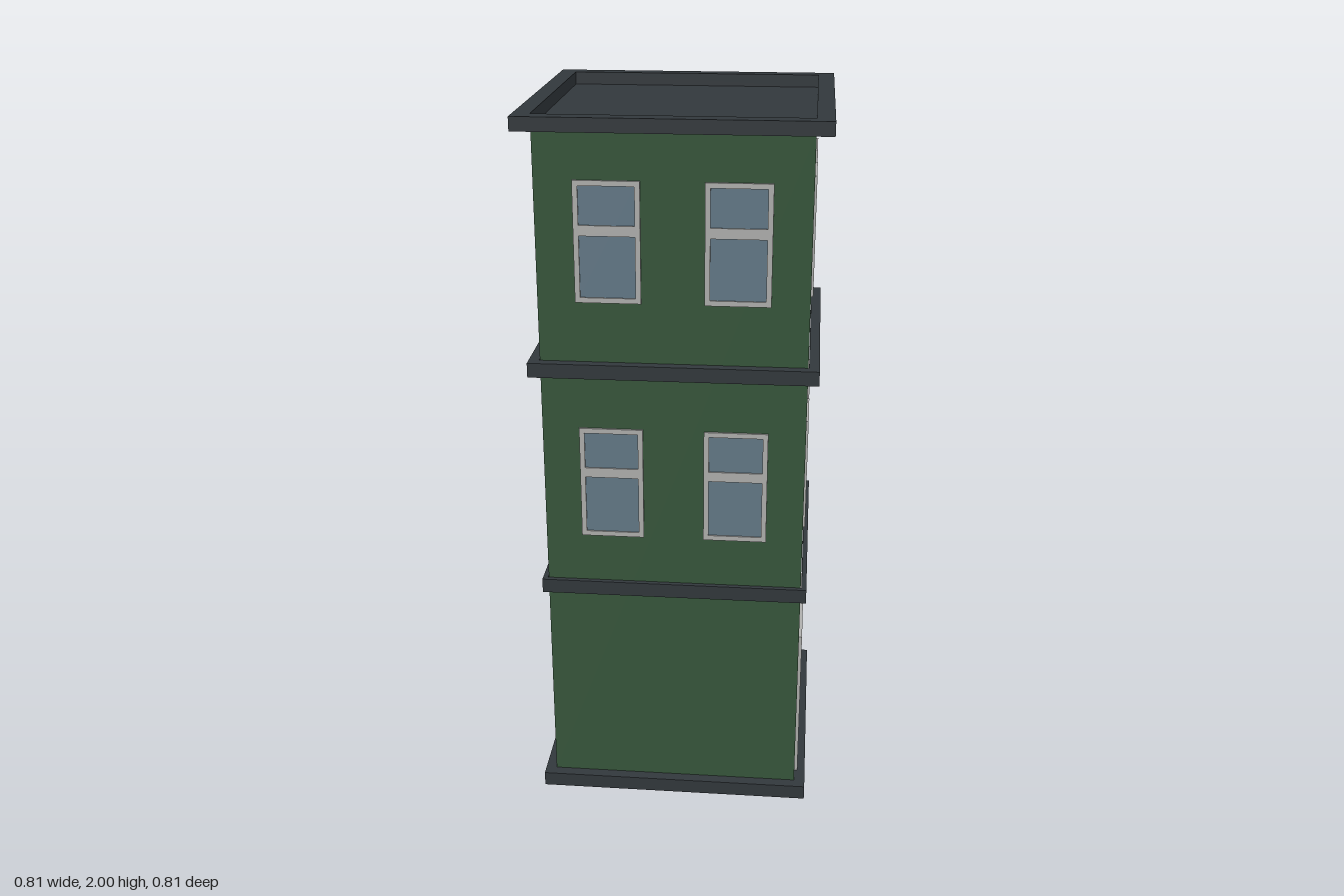
import * as THREE from 'three';

const WALL = 0.358; // half width of the tower
const mat = (color, extra = {}) => new THREE.MeshStandardMaterial({ color, ...extra });
const green = mat(0x37563b, { side: THREE.DoubleSide, flatShading: true });
const slate = mat(0x32383c);
const slateThin = mat(0x32383c, { side: THREE.DoubleSide });
const trim = mat(0xb0b0ae);
const glass = mat(0x637987);
const wood = mat(0x4f2816);

function add(parent, name, geometry, material, x = 0, y = 0, z = 0) {
  const mesh = new THREE.Mesh(geometry, material);
  mesh.name = name;
  mesh.position.set(x, y, z);
  parent.add(mesh);
  return mesh;
}

function rect(path, x0, y0, x1, y1) {
  path.moveTo(x0, y0);
  path.lineTo(x1, y0);
  path.lineTo(x1, y1);
  path.lineTo(x0, y1);
  path.closePath();
  return path;
}

// Rectangular frame of the given outer size, extruded along +z
function frameGeometry(w, h, sides, ends, depth) {
  const shape = rect(new THREE.Shape(), -w / 2, -h / 2, w / 2, h / 2);
  shape.holes.push(rect(new THREE.Path(), -w / 2 + sides, -h / 2 + ends, w / 2 - sides, h / 2 - ends));
  return new THREE.ExtrudeGeometry(shape, { depth, bevelEnabled: false });
}

// Square ledge running around the tower
function ledge(parent, name, y0, y1, half, inner) {
  const geo = frameGeometry(half * 2, half * 2, half - inner, half - inner, y1 - y0);
  geo.rotateX(-Math.PI / 2);
  add(parent, name, geo, slate, 0, y0, 0);
}

// Window on a facade, with an optional cross bar
function windowUnit(parent, name, x, y, w, h, bar) {
  const unit = new THREE.Group();
  unit.name = name;
  unit.position.set(x, y, WALL);
  add(unit, 'windowFrame', frameGeometry(w, h, 0.014, 0.014, 0.006), trim);
  add(unit, 'windowPane', new THREE.PlaneGeometry(w - 0.026, h - 0.026), glass, 0, 0, 0.002);
  if (bar) add(unit, 'windowBar', new THREE.BoxGeometry(w - 0.026, 0.028, 0.006), trim, 0, 0.031, 0.003);
  parent.add(unit);
}

// Door with two jambs and a lintel
function doorUnit(parent, x, y0, w, h) {
  const door = new THREE.Group();
  door.name = 'door';
  door.position.set(x, y0, WALL);
  add(door, 'doorPanel', new THREE.BoxGeometry(w - 0.026, h - 0.013, 0.004), wood, 0, (h - 0.013) / 2, 0.002);
  for (const s of [-1, 1]) {
    add(door, 'doorJamb', new THREE.BoxGeometry(0.014, h, 0.009), trim, s * (w / 2 - 0.007), h / 2, 0.0045);
  }
  add(door, 'doorLintel', new THREE.BoxGeometry(w - 0.028, 0.014, 0.009), trim, 0, h - 0.007, 0.0045);
  parent.add(door);
}

export function createModel() {
  const model = new THREE.Group();
  model.name = 'building';

  // Hollow walls, open at the bottom
  const walls = new THREE.CylinderGeometry(WALL * Math.SQRT2, WALL * Math.SQRT2, 1.925, 4, 1, true);
  walls.rotateY(Math.PI / 4);
  add(model, 'walls', walls, green, 0, 0.04 + 1.925 / 2, 0);

  // Ledges and sunken roof
  ledge(model, 'baseLedge', 0, 0.042, 0.389, WALL);
  ledge(model, 'lowerLedge', 0.652, 0.693, 0.374, WALL + 0.002);
  ledge(model, 'upperLedge', 1.308, 1.348, 0.388, WALL + 0.002);
  ledge(model, 'roofParapet', 1.963, 2, 0.404, WALL);
  const roof = new THREE.PlaneGeometry(WALL * 2, WALL * 2);
  roof.rotateX(-Math.PI / 2);
  add(model, 'roof', roof, slateThin, 0, 1.965, 0);

  // Four facades, each built facing +z and then turned
  const facades = ['front', 'left', 'back', 'right'].map((side, i) => {
    const facade = new THREE.Group();
    facade.name = side + 'Facade';
    facade.rotation.y = i * Math.PI / 2;
    for (const y of [0.995, 1.674]) {
      for (const s of [-1, 1]) windowUnit(facade, 'sashWindow', s * 0.17, y, 0.174, 0.323, true);
    }
    model.add(facade);
    return facade;
  });

  // Ground floor openings
  const [, left, back, right] = facades;
  doorUnit(left, -0.188, 0.042, 0.239, 0.461);
  windowUnit(left, 'smallWindow', 0.141, 0.329, 0.228, 0.167, false);
  for (const s of [-1, 1]) windowUnit(back, 'groundWindow', s * 0.17, 0.32, 0.174, 0.225, false);
  windowUnit(right, 'smallWindow', -0.141, 0.4, 0.228, 0.18, false);

  return model;
}
